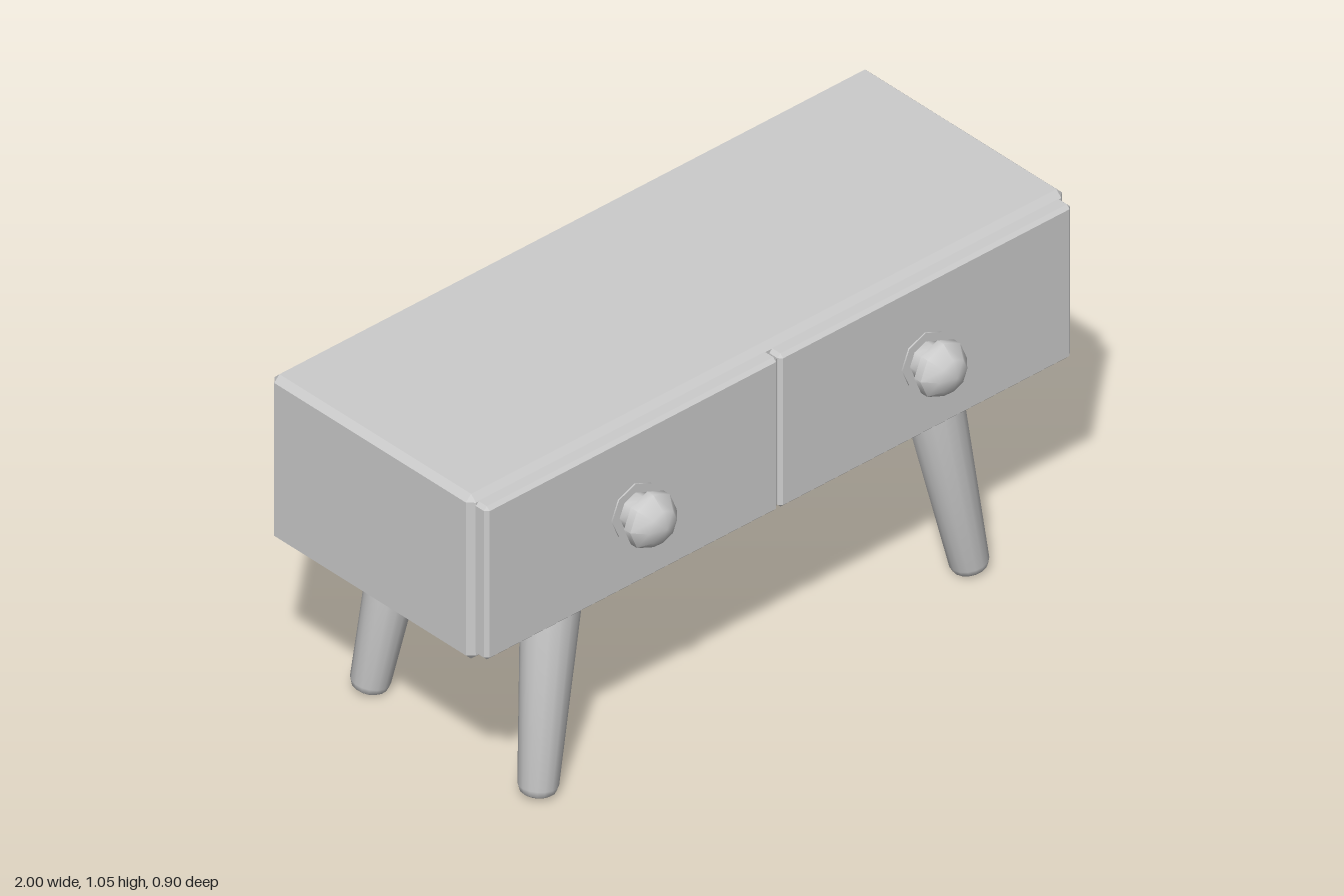
import * as THREE from 'three';
import { toCreasedNormals } from 'three/addons/utils/BufferGeometryUtils.js';
import { ConvexGeometry } from 'three/addons/geometries/ConvexGeometry.js';

const material = new THREE.MeshStandardMaterial({ color: 0xcccccc });

function addMesh(parent, name, geometry) {
  const mesh = new THREE.Mesh(geometry, material);
  mesh.name = name;
  parent.add(mesh);
  return mesh;
}

// Box between two corners with every edge chamfered by c
function chamferBox(min, max, c) {
  const points = [];
  for (let corner = 0; corner < 8; corner++) {
    for (let axis = 0; axis < 3; axis++) {
      // one point per face meeting at this corner
      const p = [0, 1, 2].map((i) => {
        const inset = i === axis ? 0 : c;
        return (corner >> i) & 1 ? max[i] - inset : min[i] + inset;
      });
      points.push(new THREE.Vector3(...p));
    }
  }
  return new ConvexGeometry(points);
}

function lathe(profile, sides, crease) {
  const points = profile.map(([r, y]) => new THREE.Vector2(r, y));
  return toCreasedNormals(new THREE.LatheGeometry(points, sides), crease);
}

export function createModel() {
  const model = new THREE.Group();
  model.name = 'lowDrawerCabinet';

  // Cabinet body
  addMesh(model, 'cabinet', chamferBox([-1, 0.55, -0.45], [1, 1.047, 0.29], 0.018));

  // Knob profile: thin backplate, stem and domed head
  const knobGeometry = lathe([
    [0, 0], [0.078, 0], [0.078, 0.004], [0.053, 0.004], [0.053, 0.047],
    [0.078, 0.047], [0.078, 0.07], [0.047, 0.105], [0, 0.12],
  ], 8, 0.95);

  for (const side of [-1, 1]) {
    const label = side > 0 ? 'left' : 'right';

    // Drawer front
    const x0 = side > 0 ? 0.002 : -0.983;
    addMesh(model, label + 'DrawerFront',
      chamferBox([x0, 0.568, 0.27], [x0 + 0.981, 1.03, 0.33], 0.01));

    const knob = addMesh(model, label + 'Knob', knobGeometry);
    knob.rotation.x = Math.PI / 2;
    knob.position.set(side * 0.487, 0.798, 0.33);

    // Splayed, tapered legs with rounded feet
    for (const [end, topZ, footZ] of [['Front', 0.19, 0.236], ['Back', -0.336, -0.384]]) {
      const top = new THREE.Vector3(side * 0.636, 0.56, topZ);
      const foot = new THREE.Vector3(side * 0.726, 0.008, footZ);
      const direction = top.clone().sub(foot);
      const length = direction.length();
      const leg = addMesh(model, label + end + 'Leg', lathe([
        [0, 0], [0.036, 0], [0.046, 0.007], [0.052, 0.024], [0.079, length], [0, length],
      ], 16, 0.8));
      leg.position.copy(foot);
      leg.quaternion.setFromUnitVectors(new THREE.Vector3(0, 1, 0), direction.normalize());
    }
  }
  return model;
}
